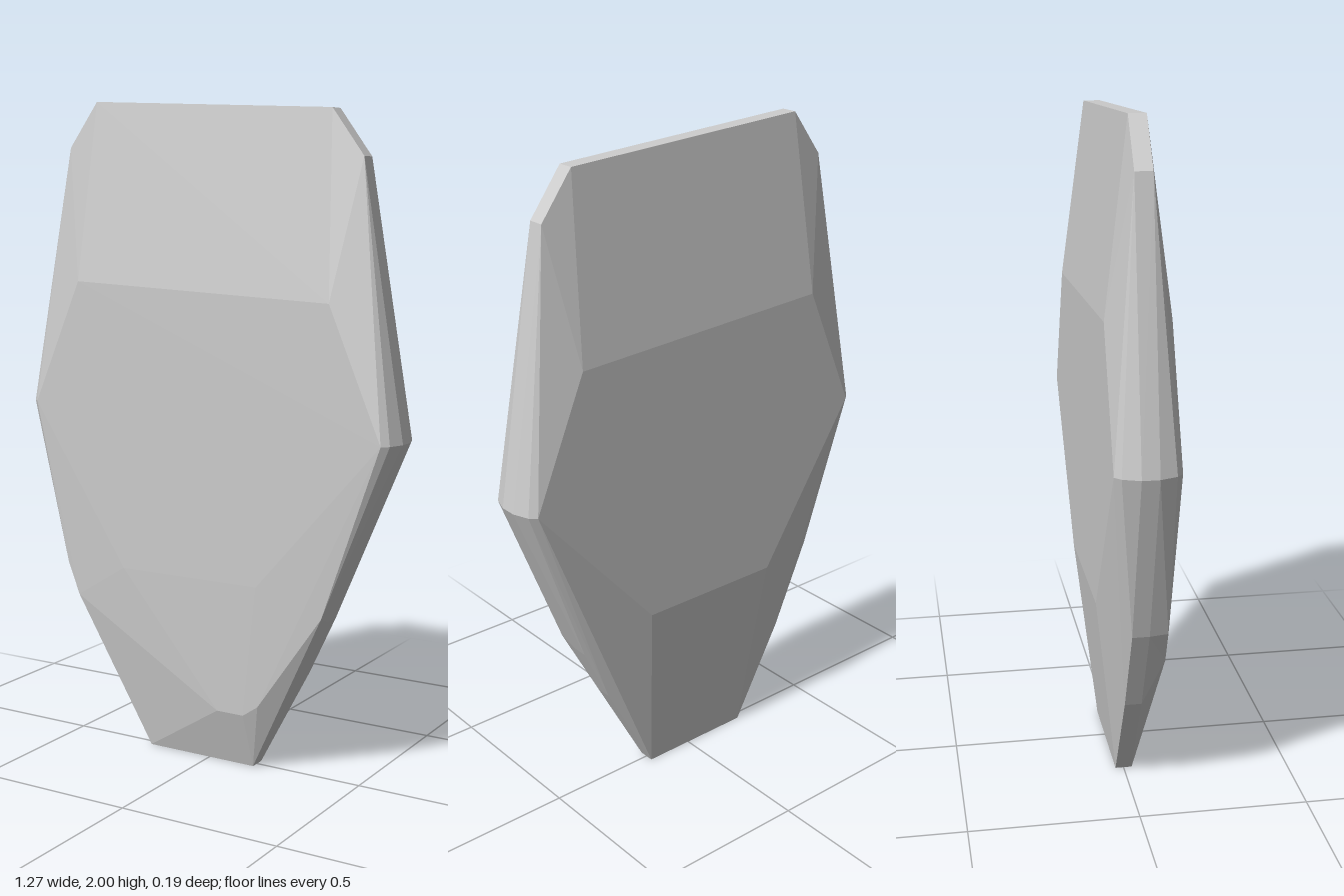
import * as THREE from 'three';
import { ConvexGeometry } from 'three/addons/geometries/ConvexGeometry.js';

export function createModel() {
  const group = new THREE.Group();
  const points = [];
  const ring = (outline, z) => outline.forEach(([x, y]) => points.push(new THREE.Vector3(x, y, z)));

  // Narrow outer rim of the slab
  const rim = [
    [-0.4, 2], [0.4, 1.96], [0.5, 1.825], [0.632, 1.03], [0.405, 0.49], [0.32, 0.31],
    [0.155, 0], [-0.215, 0], [-0.38, 0.3], [-0.5, 0.57], [-0.634, 1.08], [-0.5, 1.865],
  ];
  // Bevel corners at the widest point
  const shoulder = [[-0.615, 1.08], [0.615, 1.03]];
  // Flat raised face
  const face = [[-0.43, 1.46], [0.43, 1.42], [0.595, 1.03], [0.2, 0.58], [-0.27, 0.58], [-0.595, 1.08]];

  for (const side of [1, -1]) {
    ring(rim, side * 0.025);
    ring(shoulder, side * 0.075);
    ring(face, side * 0.093);
  }

  // The front stays thick further down, ending in a blunt chamfer
  ring([[-0.49, 0.57], [0.41, 0.51]], 0.08);
  ring([[-0.45, 0.47], [0.2, 0.21], [0.15, 0.175], [0.06, 0.175]], 0.08);

  const slab = new THREE.Mesh(
    new ConvexGeometry(points),
    new THREE.MeshStandardMaterial({ color: 0xcccccc, flatShading: true })
  );
  slab.name = 'facetedStoneSlab';
  group.add(slab);
  return group;
}
